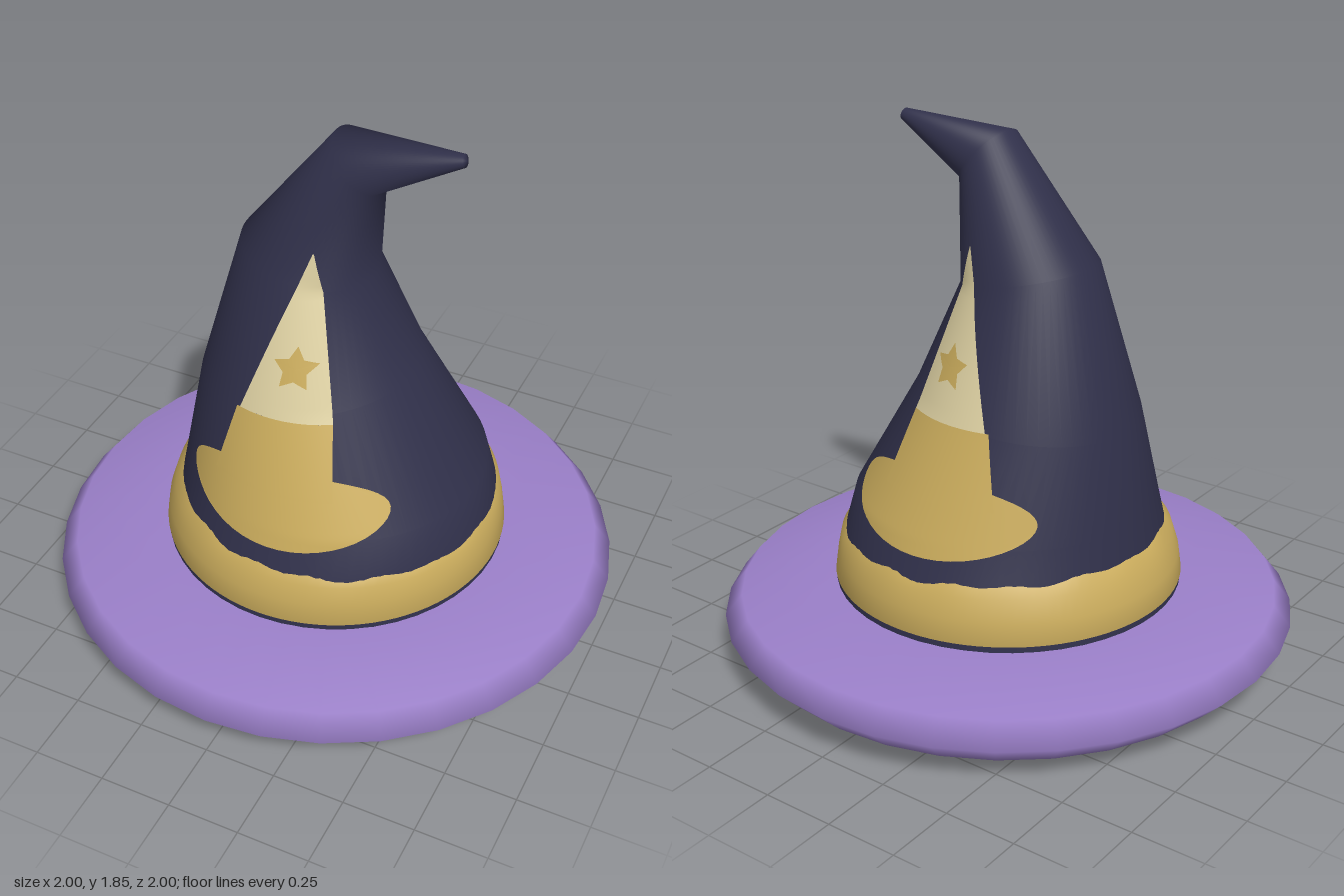
import * as THREE from 'three';

const mat = (name, color, side = THREE.FrontSide) => {
  const m = new THREE.MeshStandardMaterial({ color, side });
  m.name = name;
  return m;
};

// Crown cross-sections: left point, right point, half depth
const SECTIONS = [
  [-0.55, 0.41, 0.585, 0.37, 0.585],
  [-0.54, 0.48, 0.57, 0.44, 0.555],
  [-0.523, 0.58, 0.535, 0.58, 0.515],
  [-0.47, 0.89, 0.295, 0.99, 0.375],
  [-0.32, 1.42, 0.14, 1.33, 0.23],
  [0.0, 1.83, 0.16, 1.65, 0.12],
  [0.425, 1.846, 0.435, 1.805, 0.022],
];

// Centre, half-width vector and depth of the crown at section parameter t
function section(t) {
  const i = Math.min(Math.floor(t), SECTIONS.length - 2);
  const [lx, ly, rx, ry, d] = SECTIONS[i].map((v, k) => THREE.MathUtils.lerp(v, SECTIONS[i + 1][k], t - i));
  return { cx: (lx + rx) / 2, cy: (ly + ry) / 2, hx: (rx - lx) / 2, hy: (ry - ly) / 2, d };
}

// Depth of the crown surface behind a point (x, y) of the front elevation
function surfaceZ(x, y) {
  let lo = 0, hi = 4.9;
  for (let k = 0; k < 30; k++) {
    const t = (lo + hi) / 2, s = section(t);
    if ((y - s.cy) * s.hx - (x - s.cx) * s.hy > 0) lo = t; else hi = t;
  }
  const s = section(lo);
  const c = (x - s.cx) / s.hx;
  return s.d * Math.sqrt(Math.max(0, 1 - c * c));
}

function build(positions, index) {
  const g = new THREE.BufferGeometry();
  g.setAttribute('position', new THREE.Float32BufferAttribute(positions, 3));
  g.setIndex(index);
  g.computeVertexNormals();
  return g;
}

// Closed rings joined from bottom to top, with an optional end cap
function loft(rows, n, point, cap) {
  const p = [], idx = [];
  for (let i = 0; i < rows; i++)
    for (let j = 0; j < n; j++) p.push(...point(i, (j / n) * Math.PI * 2));
  for (let i = 0; i < rows - 1; i++)
    for (let j = 0; j < n; j++) {
      const k = (j + 1) % n, a = i * n + j, b = i * n + k;
      idx.push(a, a + n, b, b, a + n, b + n);
    }
  if (cap) {
    p.push(...cap);
    for (let j = 0; j < n; j++) idx.push((rows - 1) * n + j, rows * n, (rows - 1) * n + ((j + 1) % n));
  }
  return build(p, idx);
}

// Thin patch laid on the front (side = 1) or back (side = -1) of the crown
function patch(nu, nv, fn, offset, side) {
  const p = [], idx = [];
  for (let j = 0; j <= nv; j++)
    for (let i = 0; i <= nu; i++) {
      const [x, y] = fn(i / nu, j / nv);
      p.push(x, y, side * (surfaceZ(x, y) + offset));
    }
  for (let j = 0; j < nv; j++)
    for (let i = 0; i < nu; i++) {
      const a = j * (nu + 1) + i, b = a + 1, c = a + nu + 1, d = c + 1;
      if (side > 0) idx.push(a, b, c, b, d, c);
      else idx.push(a, c, b, b, c, d);
    }
  return build(p, idx);
}

export function createModel() {
  const hat = new THREE.Group();
  hat.name = 'hat';
  const purple = mat('purple felt', 0x9a7fc8);
  const navy = mat('navy felt', 0x30304a);
  const gold = mat('gold', 0xc9ab5c);
  const cream = mat('cream', 0xddd0a2);
  const add = (parent, name, geometry, material) => {
    const m = new THREE.Mesh(geometry, material);
    m.name = name;
    parent.add(m);
  };

  // Wide brim
  const brim = [[0, 0], [0.52, 0], [0.915, 0.06], [1, 0.145], [0.94, 0.22], [0.6, 0.26], [0, 0.265]];
  add(hat, 'brim', new THREE.LatheGeometry(brim.map(([x, y]) => new THREE.Vector2(x, y)), 32), purple);

  // Dark seam between brim and band
  add(hat, 'seam', new THREE.CylinderGeometry(0.603, 0.607, 0.035, 48, 1, true).translate(0, 0.267, 0), navy);

  // Bent crown
  const crown = loft(SECTIONS.length, 64, (i, a) => {
    const s = section(i);
    return [s.cx + s.hx * Math.cos(a), s.cy + s.hy * Math.cos(a), s.d * Math.sin(a)];
  }, [0.435, 1.826, 0]);
  add(hat, 'crown', crown, navy);

  // Band with an uneven, slightly tilted top edge
  const bandRings = [[0.59, 0.277], [0.608, 0.281], [0.597, 0.36], [0.578, 0.43], [0.55, 0.462]];
  const band = loft(bandRings.length, 96, (i, a) => {
    const [r, y] = bandRings[i];
    const k = i === 4 ? 1 : i === 3 ? 0.6 : 0;
    const wave = i === 4 ? 0.004 * Math.sin(a * 16) + 0.003 * Math.sin(a * 9 + 1) : 0;
    return [0.012 * k + r * Math.cos(a), y - 0.016 * k * Math.cos(a) + wave, r * Math.sin(a)];
  });
  add(hat, 'band', band, gold);

  // Small hat emblem on the front and the back
  const lerp = THREE.MathUtils.lerp;
  const strip = (y0, y1, l0, l1, r0, r1) => (u, v) => [lerp(lerp(l0, l1, v), lerp(r0, r1, v), u), lerp(y0, y1, v)];
  const ellipse = (u, v) => {
    const a = (v - 0.5) * Math.PI;
    return [-0.005 + (u * 2 - 1) * 0.362 * Math.cos(a), 0.655 + 0.13 * Math.sin(a)];
  };
  const star = (u, v) => {
    const k = v * 10, i = Math.floor(k) % 10, f = k - Math.floor(k);
    const corner = (n) => {
      const r = n % 2 ? 0.04 : 0.075, a = Math.PI / 2 + (n * Math.PI) / 5;
      return [r * Math.cos(a), r * Math.sin(a)];
    };
    const p = corner(i), q = corner(i + 1);
    return [0.003 + u * lerp(p[0], q[0], f), 1.112 + u * lerp(p[1], q[1], f)];
  };
  for (const side of [1, -1]) {
    const emblem = new THREE.Group();
    emblem.name = side > 0 ? 'frontEmblem' : 'backEmblem';
    add(emblem, 'emblemBrim', patch(28, 24, ellipse, 0.005, side), gold);
    add(emblem, 'emblemBase', patch(16, 14, strip(0.7, 0.94, -0.247, -0.187, 0.19, 0.142), 0.006, side), gold);
    add(emblem, 'emblemCone', patch(16, 24, strip(0.94, 1.485, -0.175, 0.01, 0.142, 0.014), 0.006, side), cream);
    add(emblem, 'emblemStar', patch(4, 40, star, 0.009, side), gold);
    hat.add(emblem);
  }
  return hat;
}
